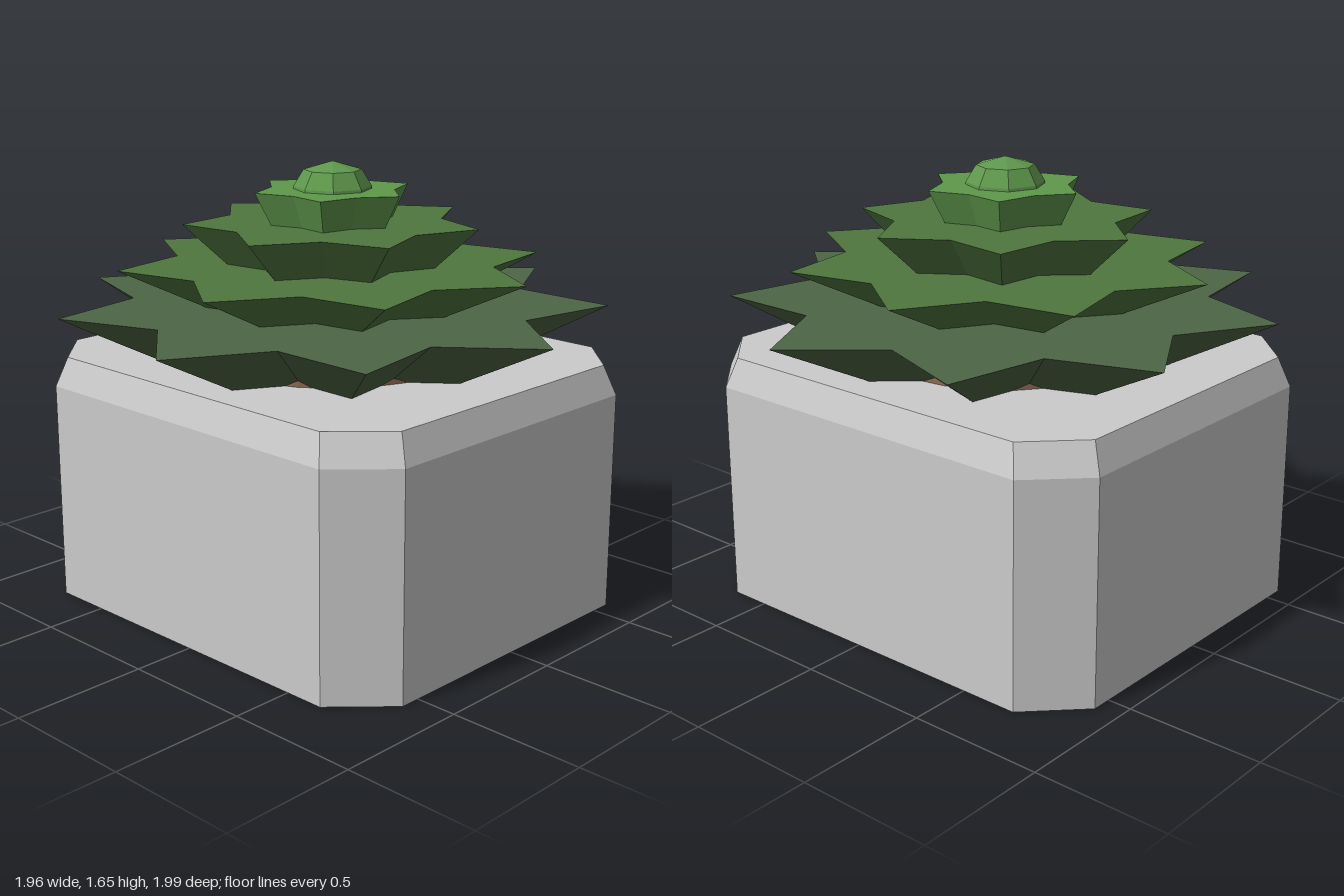
import * as THREE from 'three';

const CX = -0.033; // centre of pot and plant

// Closed faceted solid through a stack of outlines; each level is [y, scale]
function loft(outline, levels) {
  const pos = [], n = outline.length;
  const at = ([y, s], i) => [outline[i % n][0] * s, y, outline[i % n][1] * s];
  const first = levels[0], last = levels[levels.length - 1];
  for (let i = 0; i < n; i++) {
    for (let k = 0; k < levels.length - 1; k++) {
      const a = at(levels[k], i), b = at(levels[k], i + 1);
      const c = at(levels[k + 1], i + 1), d = at(levels[k + 1], i);
      pos.push(...a, ...b, ...c);
      if (levels[k + 1][1] > 0) pos.push(...a, ...c, ...d);
    }
    pos.push(0, first[0], 0, ...at(first, i + 1), ...at(first, i));
    if (last[1] > 0) pos.push(0, last[0], 0, ...at(last, i), ...at(last, i + 1));
  }
  const geo = new THREE.BufferGeometry();
  geo.setAttribute('position', new THREE.Float32BufferAttribute(pos, 3));
  geo.computeVertexNormals();
  return geo;
}

// Star outline, counter-clockwise from above
function star(points, outer, inner, offsetDeg) {
  return Array.from({ length: points * 2 }, (_, i) => {
    const a = THREE.MathUtils.degToRad(offsetDeg) + (i * Math.PI) / points;
    const r = i % 2 ? inner : outer;
    return [r * Math.cos(a), -r * Math.sin(a)];
  });
}

export function createModel() {
  const model = new THREE.Group();
  const add = (name, geo, color) => {
    const mat = new THREE.MeshStandardMaterial({ color, flatShading: true });
    const mesh = new THREE.Mesh(geo, mat);
    mesh.name = name;
    mesh.position.x = CX;
    model.add(mesh);
    return mesh;
  };

  // Pot: rectangle with cut corners and a bevelled rim
  const X = 0.877, Z = 0.768, C = 0.193;
  const potOutline = [
    [X, Z - C], [X, C - Z], [X - C, -Z], [C - X, -Z],
    [-X, C - Z], [-X, Z - C], [C - X, Z], [X - C, Z],
  ];
  add('pot', loft(potOutline, [[0, 1], [0.825, 1], [0.935, 0.953]]), 0xcccccc);

  // Soil disc showing between the lowest leaves
  const soil = new THREE.CylinderGeometry(0.49, 0.49, 0.1, 24);
  soil.translate(0, 0.93, 0);
  add('soil', soil, 0x8b6b55);

  // Leaf tiers: points, tip radius, valley radius, turn, bottom y, top y, bottom scale, colour
  const tiers = [
    [9, 1.012, 0.745, 0, 0.93, 1.13, 0.6, 0x4d6645],
    [8, 0.79, 0.59, 11.5, 1.12, 1.28, 0.57, 0x50773f],
    [7, 0.548, 0.403, 180 / 7, 1.27, 1.43, 0.69, 0x50773f],
    [6, 0.3, 0.226, 6, 1.42, 1.55, 0.78, 0x5f984c],
  ];
  tiers.forEach(([n, R, r, turn, y0, y1, s, color], i) => {
    add(`leafTier${i + 1}`, loft(star(n, R, r, turn), [[y0, s], [y1, 1]]), color);
  });

  // Rounded eight-sided bud
  add('bud', loft(star(4, 0.145, 0.145, 0), [[1.54, 1], [1.56, 0.98], [1.62, 0.73], [1.65, 0]]), 0x5f984c);

  return model;
}
